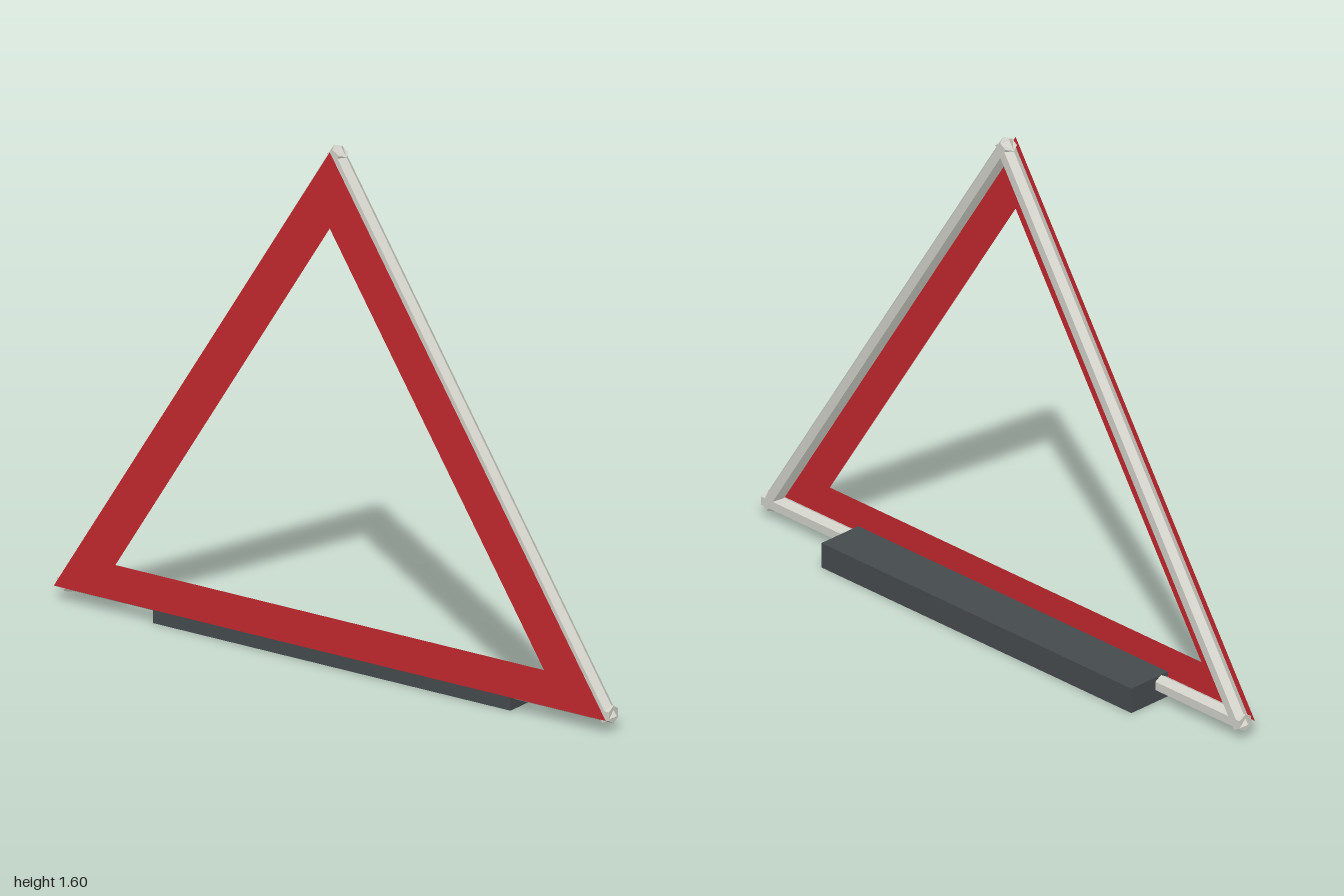
import * as THREE from 'three';

const mat = (color, extra = {}) => new THREE.MeshStandardMaterial({ color, ...extra });

export function createModel() {
  const group = new THREE.Group();
  const rodMaterial = mat(0xd0d0c8, { flatShading: true });
  const add = (name, geometry, material) => {
    const mesh = new THREE.Mesh(geometry, material);
    mesh.name = name;
    group.add(mesh);
    return mesh;
  };

  // Flat red triangular band with a triangular opening
  const band = new THREE.Shape([
    new THREE.Vector2(-0.985, 0.045), new THREE.Vector2(0.985, 0.045), new THREE.Vector2(0, 1.59),
  ]);
  band.holes.push(new THREE.Path([
    new THREE.Vector2(-0.765, 0.155), new THREE.Vector2(0, 1.355), new THREE.Vector2(0.765, 0.155),
  ]));
  add('reflectorPanel', new THREE.ShapeGeometry(band), mat(0xc1272d, { side: THREE.DoubleSide }))
    .position.z = 0.075;

  // Six-sided frame rods, one ridge facing outward in the triangle's plane
  const rod = (name, x1, y1, x2, y2) => {
    const dx = x2 - x1, dy = y2 - y1;
    const geometry = new THREE.CylinderGeometry(0.027, 0.027, Math.hypot(dx, dy), 6);
    geometry.rotateY(Math.PI / 2);
    const mesh = add(name, geometry, rodMaterial);
    mesh.position.set((x1 + x2) / 2, (y1 + y2) / 2, 0.036);
    mesh.rotation.z = Math.atan2(dy, dx) - Math.PI / 2;
  };
  rod('rightRod', -0.973, 0.036, 0.01, 1.585);
  rod('leftRod', 0.973, 0.036, -0.01, 1.585);
  rod('bottomRod', -0.985, 0.053, 0.985, 0.053);

  // Dark foot bar
  add('footBar', new THREE.BoxGeometry(1.276, 0.08, 0.15), mat(0x454a4e))
    .position.set(0, 0.04, -0.01);

  return group;
}
